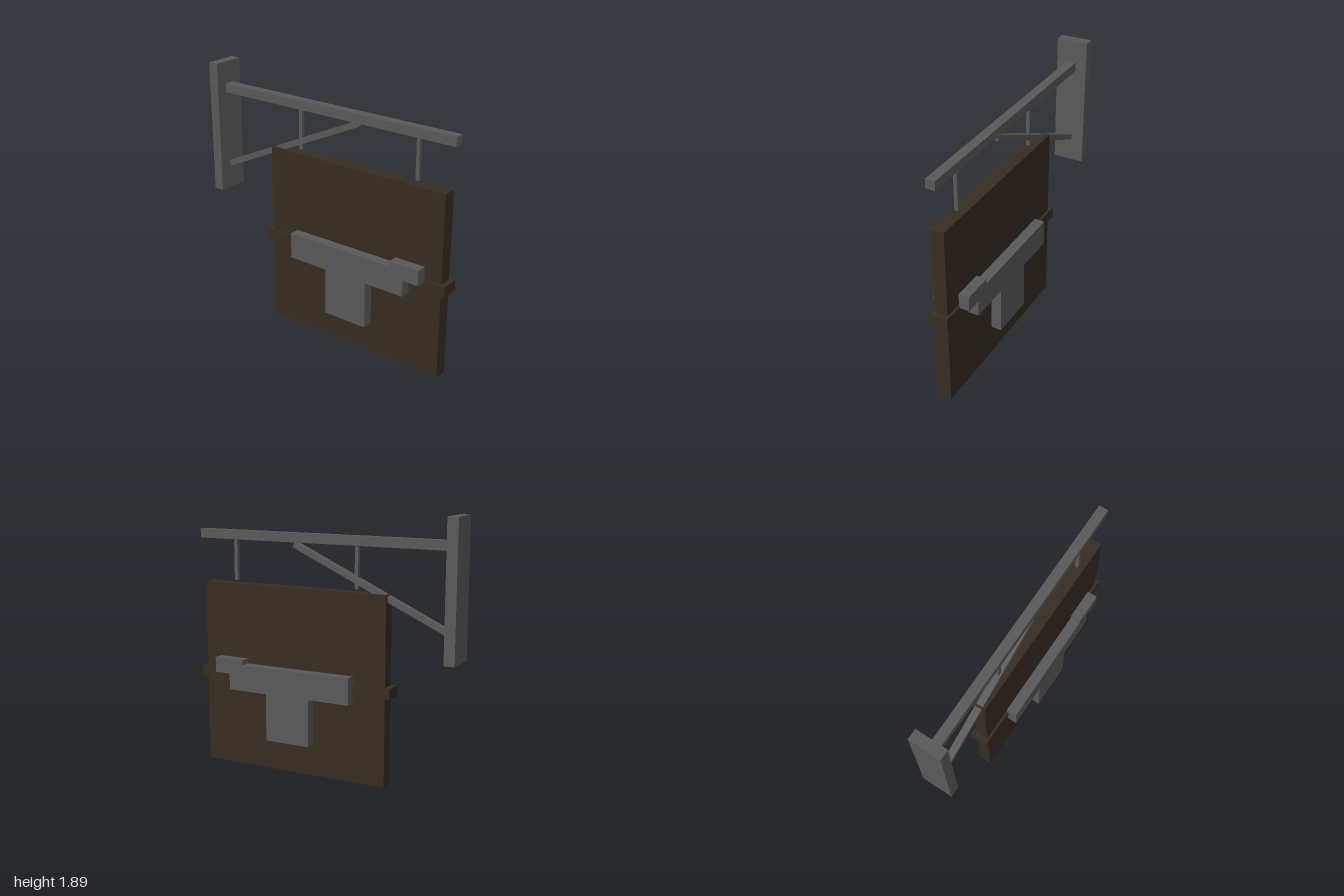
import * as THREE from 'three';

export function createModel() {
  const model = new THREE.Group();
  model.name = 'hangingSign';

  const iron = new THREE.MeshStandardMaterial({ color: 0x5a5a5a });
  iron.name = 'grey iron';
  const wood = new THREE.MeshStandardMaterial({ color: 0x362c22 });
  wood.name = 'dark wood';

  const add = (name, geometry, material) => {
    const mesh = new THREE.Mesh(geometry, material);
    mesh.name = name;
    model.add(mesh);
    return mesh;
  };

  // Box centred on x = 0, given by its half width and its y and z ranges
  const slab = (name, material, halfWidth, y0, y1, z0, z1) => {
    const mesh = add(name, new THREE.BoxGeometry(halfWidth * 2, y1 - y0, z1 - z0), material);
    mesh.position.set(0, (y0 + y1) / 2, (z0 + z1) / 2);
    return mesh;
  };

  // Wall plate and the beam that sticks out from it
  slab('wallPlate', iron, 0.115, 0.927, 1.887, -1, -0.924);
  slab('beam', iron, 0.034, 1.663, 1.728, -0.924, 1);

  // Sloping brace between the plate and the beam
  const low = new THREE.Vector3(0, 1.118, -0.92);
  const high = new THREE.Vector3(0, 1.648, 0.232);
  const brace = add('brace', new THREE.BoxGeometry(0.05, 0.04, low.distanceTo(high)), iron);
  brace.position.copy(low).lerp(high, 0.5);
  brace.rotation.x = -Math.atan2(high.y - low.y, high.z - low.z);

  // Hanger rods
  for (const z of [0.714, -0.248]) {
    slab(z > 0 ? 'frontHanger' : 'backHanger', iron, 0.013, 1.367, 1.655, z - 0.013, z + 0.013);
  }

  // Sign board with a strap around its middle
  slab('board', wood, 0.048, 0, 1.347, -0.485, 0.953);
  slab('strap', wood, 0.067, 0.638, 0.713, -0.527, 0.99);

  // Anvil emblem on each side, drawn as (z, y) and extruded along x
  const outline = [
    [0.828, 0.808], [0.828, 0.698], [0.71, 0.698], [0.71, 0.58], [0.405, 0.58], [0.405, 0.236],
    [0.063, 0.236], [0.063, 0.58], [-0.248, 0.58], [-0.248, 0.77], [0.598, 0.77], [0.598, 0.808],
  ];
  const anvilShape = new THREE.Shape(outline.map(([z, y]) => new THREE.Vector2(z, y)));
  const inner = 0.058, outer = 0.134;
  const anvil = new THREE.ExtrudeGeometry(anvilShape, { depth: outer - inner, bevelEnabled: false });
  anvil.rotateY(-Math.PI / 2);
  add('leftAnvil', anvil, iron).position.x = outer;
  add('rightAnvil', anvil, iron).position.x = -inner;

  return model;
}
